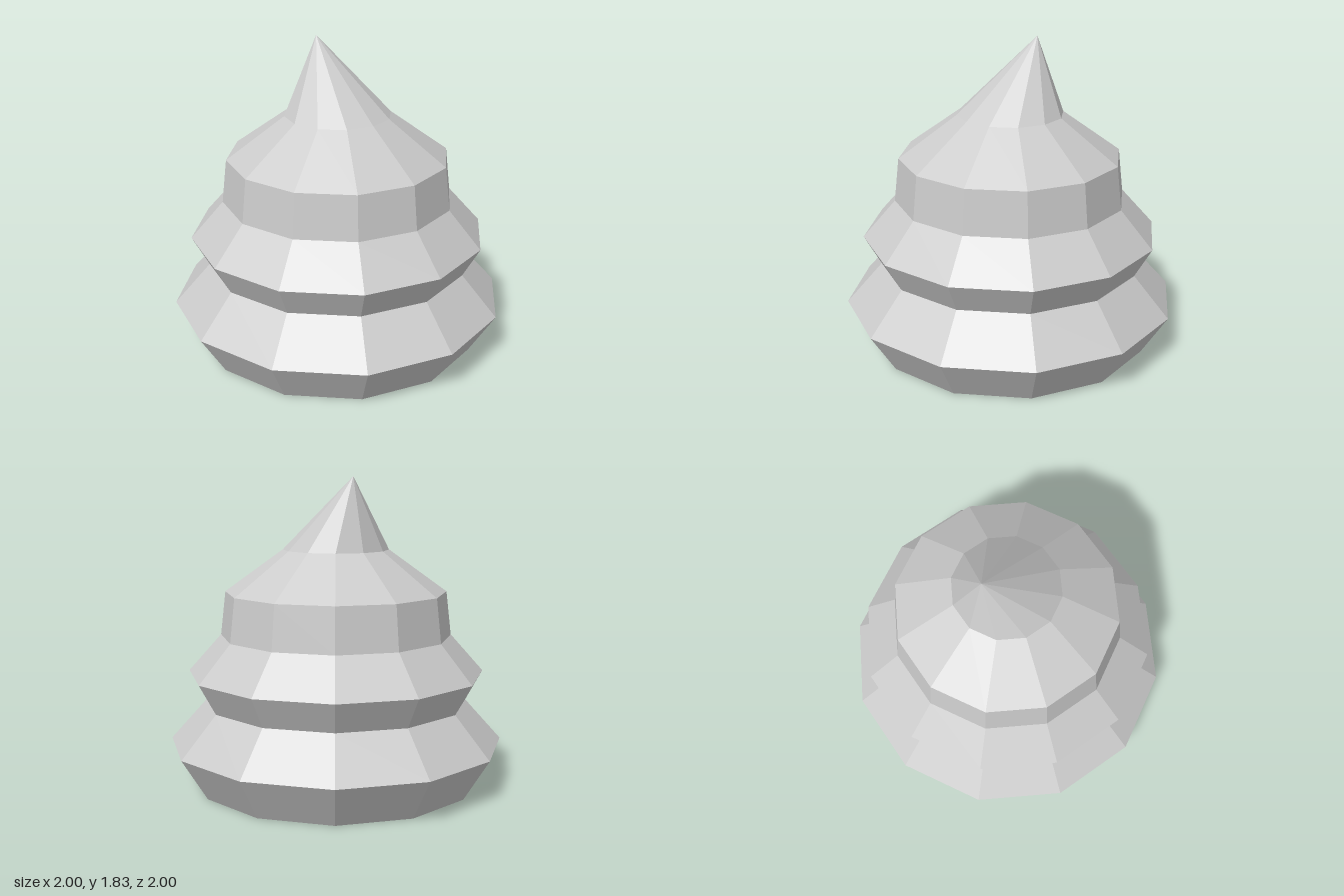
import * as THREE from 'three';

const SIDES = 12;
const TIP_LEAN = -0.2;

export function createModel() {
  const group = new THREE.Group();
  const material = new THREE.MeshStandardMaterial({ color: 0xcccccc, flatShading: true });

  // One faceted swirl layer, turned from [radius, height] points listed bottom to top
  function addLayer(name, profile) {
    const points = profile.map(([r, y]) => new THREE.Vector2(r, y));
    const mesh = new THREE.Mesh(new THREE.LatheGeometry(points, SIDES), material);
    mesh.name = name;
    group.add(mesh);
    return mesh;
  }

  // Stacked layers, the lowest closed by a flat base
  addLayer('bottomLayer', [[0, 0], [0.845, 0], [1, 0.25], [0.785, 0.49]]);
  addLayer('middleLayer', [[0.785, 0.49], [0.885, 0.67], [0.69, 0.89]]);
  addLayer('topLayer', [[0.69, 0.89], [0.66, 1.15], [0.315, 1.4]]);

  // Pointed tip, its apex pulled sideways
  const tip = addLayer('tip', [[0.315, 1.4], [0, 1.83]]);
  const position = tip.geometry.attributes.position;
  for (let i = 0; i < position.count; i++) {
    if (position.getY(i) > 1.8) position.setX(i, TIP_LEAN);
  }
  tip.geometry.computeVertexNormals();

  return group;
}
